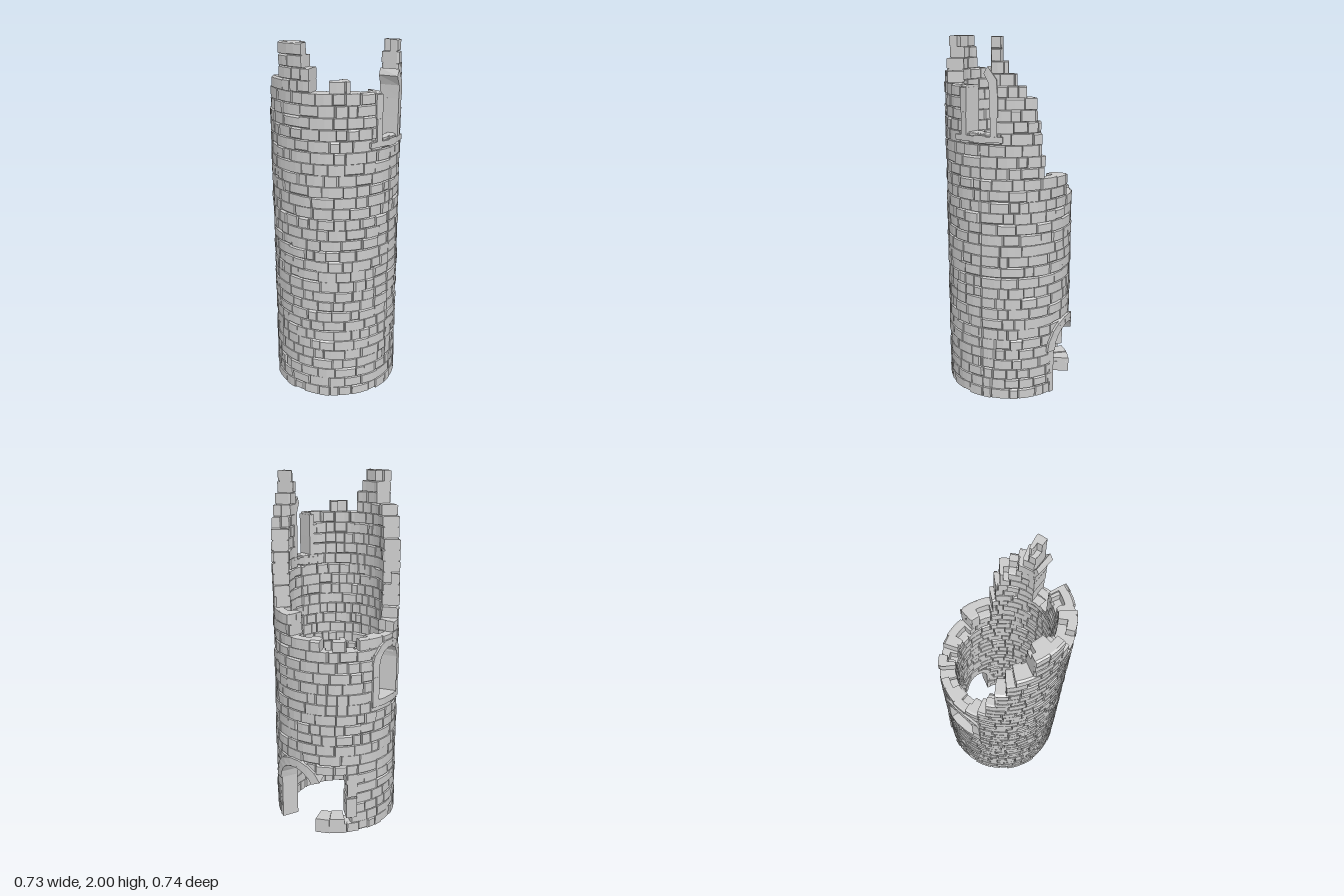
import * as THREE from 'three';
import { mergeGeometries } from 'three/addons/utils/BufferGeometryUtils.js';

const DEG = Math.PI / 180;
const R = 0.357, MID = 0.312, INNER = 0.264;   // outer face, joint between layers, inner face
const COURSES = 33, H = 2 / COURSES;

let seed = 7;
const rnd = () => {
  seed = (seed * 16807) % 2147483647;
  return seed / 2147483647;
};

// Ruined top edge: [end azimuth in degrees, height]; azimuth 0 = front, 90 = +x
const SKYLINE = [
  [10, 1.5], [19, 2], [25, 1.9], [32, 1.83], [40, 1.77], [49, 1.7], [54, 1.55], [58, 1.42],
  [87, 1.28], [117, 1.16], [128, 1.1], [140, 1.16], [152, 1.1], [172, 1.14], [192, 1.16],
  [204, 1.21], [212, 1.3], [220, 1.44], [229, 1.66], [236, 1.78], [250, 1.84], [277, 2],
  [284, 1.9], [300, 1.78], [309, 1.83], [318, 1.84], [329, 1.78], [347, 1.76], [360, 1.5],
];
const topAt = a => SKYLINE.find(s => a < s[0])[1];

// Arched openings: azimuth, half width, bottom and springing height
const DOOR = { az: 90, w: 0.125, y0: -1, ys: 0.26 };
const WINDOW = { az: 185, w: 0.085, y0: 0.79, ys: 1.0 };

function inArch(o, a, y) {
  const s = Math.abs(a - o.az) * DEG * R, w = o.w + 0.012;
  if (y < o.y0 || s > w) return false;
  return y < o.ys || Math.hypot(s, y - o.ys) < w;
}
const inBreach = (a, y) => a > 100 && a < 143 - 4 * Math.sin(y * 40) && y > 0.08 && y < 0.36;

function toGeometry(positions, index) {
  const g = new THREE.BufferGeometry();
  g.setAttribute('position', new THREE.Float32BufferAttribute(positions, 3));
  g.setIndex(index);
  const flat = g.toNonIndexed();
  flat.computeVertexNormals();
  return flat;
}
const polar = (r, a, y) => [r * Math.sin(a), y, r * Math.cos(a)];

// Curved brick with a worn, chamfered face at radius rf and a plain back at rb
function brick(a0, a1, y0, y1, rb, rf) {
  const out = Math.sign(rf - rb);
  const worn = () => 0.0015 + 0.009 * Math.pow(rnd(), 4);
  const c = rf - out * 0.011, lo = worn(), hi = worn();
  const d0 = worn() / R, d1 = worn() / R;
  const n = Math.max(1, Math.round((a1 - a0) / (7 * DEG)));
  const sections = [[a0, c]];
  for (let i = 0; i <= n; i++) {
    sections.push([a0 + d0 + (a1 - a0 - d0 - d1) * i / n, rf + (rnd() - 0.5) * 0.003]);
  }
  sections.push([a1, c]);
  const pos = [], idx = [];
  const tri = (p, q, r) => (out > 0 ? idx.push(p, q, r) : idx.push(p, r, q));
  for (const [a, r] of sections) {
    const loop = [[rb, y0], [c, y0], [r, y0 + lo], [r, y1 - hi], [c, y1], [rb, y1]];
    for (const [pr, py] of loop) pos.push(...polar(pr, a, py));
  }
  for (let k = 0; k < sections.length - 1; k++) {
    for (let i = 0; i < 6; i++) {
      const j = (i + 1) % 6, p = k * 6, q = p + 6;
      tri(p + i, q + i, q + j);
      tri(p + i, q + j, p + j);
    }
  }
  const e = (sections.length - 1) * 6;
  for (let i = 1; i < 5; i++) {
    tri(0, i, i + 1);
    tri(e, e + i + 1, e + i);
  }
  return toGeometry(pos, idx);
}

// Four-cornered dressed stone; corners (s, y) lie along the wall, counter-clockwise from outside
function stone(az, corners, r0 = 0.262, r1 = 0.37) {
  const pos = [];
  for (const r of [r0, r1]) {
    for (const [s, y] of corners) pos.push(...polar(r, az * DEG + s / R, y));
  }
  const idx = [4, 5, 6, 4, 6, 7, 0, 2, 1, 0, 3, 2];
  for (let i = 0; i < 4; i++) {
    const j = (i + 1) % 4;
    idx.push(i, j, j + 4, i, j + 4, i + 4);
  }
  return toGeometry(pos, idx);
}
const rect = (az, s0, s1, y0, y1, r0, r1) => stone(az, [[s0, y0], [s1, y0], [s1, y1], [s0, y1]], r0, r1);

// Ring of wedge stones between two angles of an arch
function archStones(o, from, to, n, thick, r1) {
  const list = [];
  for (let i = 0; i < n; i++) {
    const t0 = (from + (to - from) * i / n) * DEG, t1 = (from + (to - from) * (i + 1) / n) * DEG;
    const at = (r, t) => [r * Math.cos(t), o.ys + r * Math.sin(t)];
    const ro = o.w + thick + rnd() * 0.006;
    list.push(stone(o.az, [at(o.w, t0), at(ro, t0), at(ro, t1), at(o.w, t1)], 0.262, r1 + rnd() * 0.004));
  }
  return list;
}

// One layer of masonry, laid course by course around the tower
function layer(rb, rf, sink) {
  const bricks = [];
  for (let c = 0; c < COURSES; c++) {
    const y = (c + 0.5) * H;
    const solid = a => y < topAt(a) - sink * (Math.sin(a * 0.21) > 0 ? 1 : 0)
      && !inArch(DOOR, a, y) && !inArch(WINDOW, a, y) && !inBreach(a, y);
    let start = -1, end = 0;
    for (let a = 0; a <= 360; a++) {
      const ok = a < 360 && solid(a + 0.5);
      if (ok && start < 0) {
        start = a;
        end = a + 8 + Math.floor(rnd() * 13);
      }
      if (start >= 0 && (!ok || a >= end)) {
        const face = rf + (rnd() - 0.5) * 0.007;
        bricks.push(brick(start * DEG, a * DEG, c * H, (c + 1) * H, rb, face));
        start = ok ? a : -1;
        end = a + 8 + Math.floor(rnd() * 13);
      }
    }
  }
  return bricks;
}

export function createModel() {
  const tower = new THREE.Group();
  tower.name = 'ruinedTower';
  const material = new THREE.MeshStandardMaterial({ color: 0xcccccc, flatShading: true });
  const add = (name, parts) => {
    const mesh = new THREE.Mesh(mergeGeometries(parts), material);
    mesh.name = name;
    tower.add(mesh);
  };

  add('outerMasonry', layer(MID - 0.003, R, 0));
  add('innerMasonry', layer(MID + 0.003, INNER, 0.05));

  // Doorway: full left jamb, arch broken off on its right
  const door = archStones(DOOR, 20, 180, 8, 0.05, 0.368);
  for (let i = 0; i < 4; i++) {
    door.push(rect(90, -0.155 - 0.012 * (i % 2), -0.125, i * 0.065, (i + 1) * 0.065, 0.262, 0.36));
  }
  add('doorArch', door);

  // Low stub and ragged stones around the breach beside the door
  add('breachStones', [
    rect(117, -0.03, 0.05, 0, 0.085, 0.262, 0.362),
    rect(131, -0.035, 0.05, 0, 0.09, 0.262, 0.36),
    rect(142, -0.01, 0.05, 0.1, 0.22, 0.266, 0.367),
    rect(144, -0.015, 0.04, 0.23, 0.37, 0.266, 0.364),
  ]);

  // Rear window with raised frame and sill
  const rear = archStones(WINDOW, 0, 180, 7, 0.042, 0.367);
  for (const side of [-1, 1]) {
    for (let i = 0; i < 3; i++) {
      const s = [side * 0.085, side * 0.127].sort((p, q) => p - q);
      rear.push(rect(185, s[0], s[1], 0.79 + i * 0.07, 0.86 + i * 0.07, 0.262, 0.366 + rnd() * 0.004));
    }
  }
  for (let i = -1; i <= 1; i++) {
    rear.push(rect(185, i * 0.085 - 0.043, i * 0.085 + 0.043, 0.755, 0.795, 0.262, 0.368));
  }
  add('rearWindowFrame', rear);

  // Front window: sill, jambs and the surviving start of its arch
  add('frontWindowFrame', [
    rect(0, -0.155, -0.03, 1.47, 1.5),
    rect(0, -0.03, 0.035, 1.465, 1.505),
    rect(0, 0.035, 0.125, 1.47, 1.5),
    rect(0, -0.115, -0.08, 1.5, 1.62, 0.262, 0.366),
    rect(0, -0.12, -0.078, 1.62, 1.745, 0.262, 0.364),
    rect(0, 0.06, 0.095, 1.5, 1.6, 0.262, 0.366),
    rect(0, 0.057, 0.1, 1.6, 1.7, 0.262, 0.368),
    stone(0, [[0.058, 1.7], [0.1, 1.7], [0.095, 1.79], [0.055, 1.77]]),
    stone(0, [[0.055, 1.77], [0.095, 1.79], [0.05, 1.855], [0.03, 1.82]]),
  ]);

  return tower;
}
